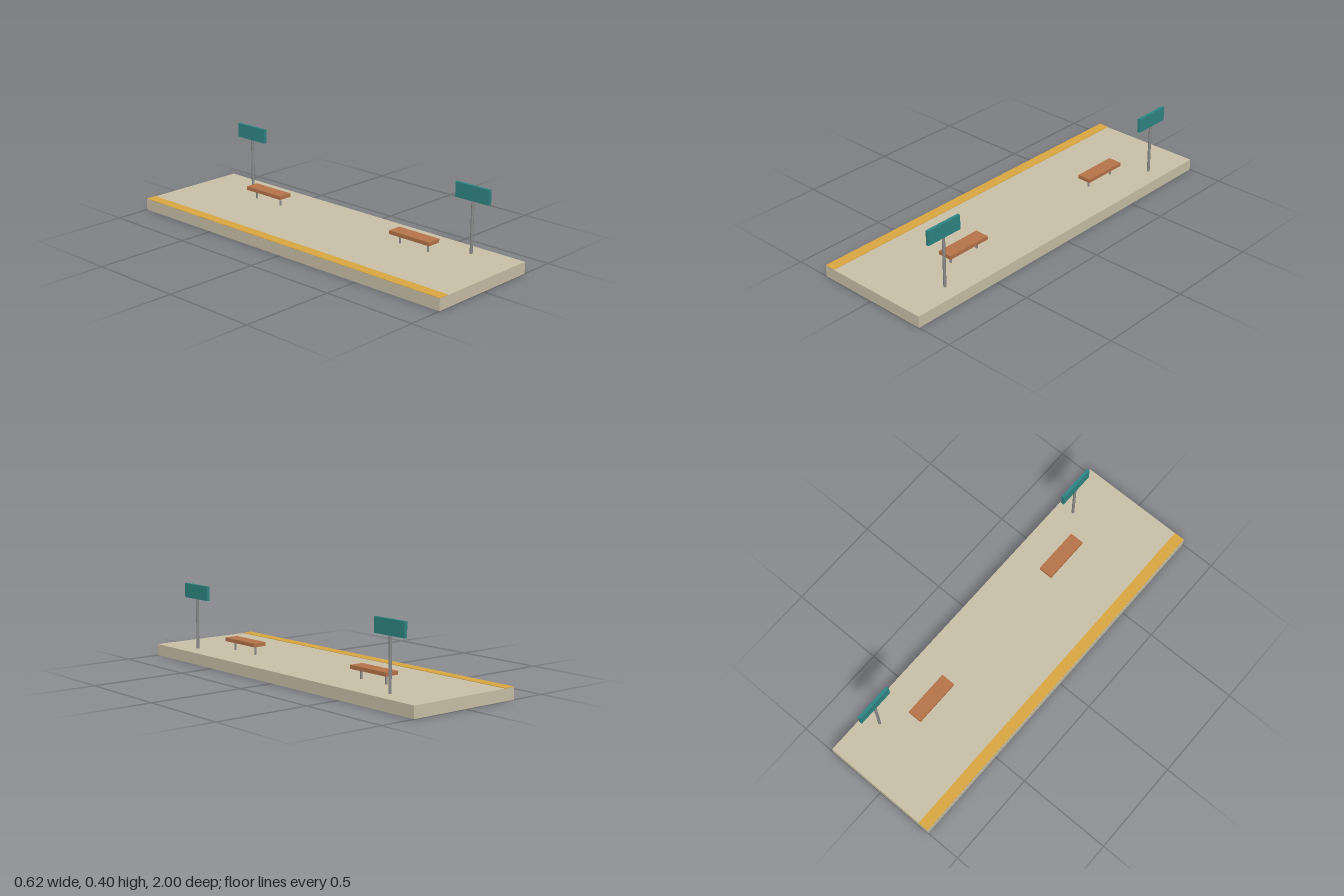
import * as THREE from 'three';

const paint = (color) => new THREE.MeshStandardMaterial({ color });

export function createModel() {
  const stone = paint(0xc8bfa6);
  const yellow = paint(0xd9a741);
  const wood = paint(0xb5734a);
  const teal = paint(0x2f8583);
  const metal = paint(0x8c8c8c);

  const TOP = 0.06; // height of the platform surface

  const model = new THREE.Group();
  model.name = 'stationPlatform';

  function add(parent, name, geometry, material, x, y, z) {
    const mesh = new THREE.Mesh(geometry, material);
    mesh.name = name;
    mesh.position.set(x, y, z);
    parent.add(mesh);
    return mesh;
  }

  // Upright round bar from y0 to y1
  function addBar(parent, name, radius, y0, y1, x, z) {
    const bar = new THREE.CylinderGeometry(radius, radius, y1 - y0, 8);
    add(parent, name, bar, metal, x, (y0 + y1) / 2, z);
  }

  // Slab with a thin warning strip along the track edge
  add(model, 'slab', new THREE.BoxGeometry(0.625, TOP, 2), stone, 0, TOP / 2, 0);
  add(model, 'edgeStrip', new THREE.BoxGeometry(0.057, 0.0025, 2), yellow, -0.283, TOP + 0.00125, 0);

  // One bench and one sign towards each end
  for (const side of [1, -1]) {
    const bench = new THREE.Group();
    bench.name = side > 0 ? 'frontBench' : 'backBench';
    bench.position.set(0.1, 0, side * 0.5);
    add(bench, 'seat', new THREE.BoxGeometry(0.075, 0.019, 0.25), wood, 0, 0.1165, 0);
    for (const z of [-0.0875, 0.0875]) addBar(bench, 'leg', 0.005, TOP, 0.108, 0, z);

    const sign = new THREE.Group();
    sign.name = side > 0 ? 'frontSign' : 'backSign';
    sign.position.set(0.225, 0, side * 0.75);
    addBar(sign, 'post', 0.0075, TOP, 0.33, 0, 0);
    add(sign, 'board', new THREE.BoxGeometry(0.016, 0.075, 0.2), teal, 0, 0.361, 0);

    model.add(bench, sign);
  }

  return model;
}
